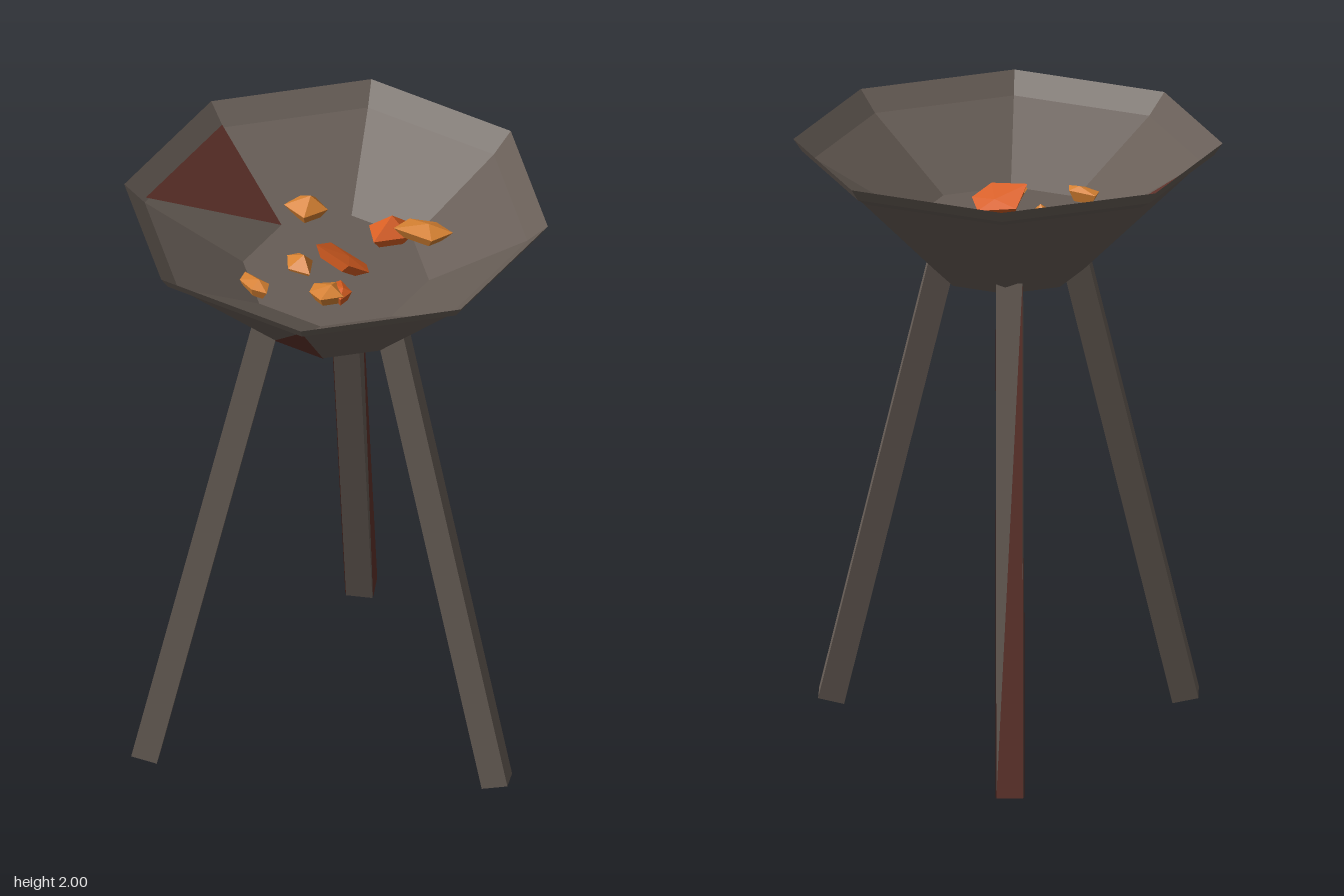
import * as THREE from 'three';
import { ConvexGeometry } from 'three/addons/geometries/ConvexGeometry.js';

const flat = (name, color) =>
  new THREE.MeshStandardMaterial({ name, color, side: THREE.DoubleSide, flatShading: true });

function addMesh(parent, name, geometry, material) {
  const mesh = new THREE.Mesh(geometry, material);
  mesh.name = name;
  parent.add(mesh);
  return mesh;
}

// Point on a ring around y: angle 0 is +z, 90 degrees is +x
const ring = (r, y, deg) => {
  const a = THREE.MathUtils.degToRad(deg);
  return new THREE.Vector3(r * Math.sin(a), y, r * Math.cos(a));
};

// Single triangle lifted slightly off the surface below it
function patchGeometry(a, b, c) {
  const lift = new THREE.Triangle(a, b, c).getNormal(new THREE.Vector3()).multiplyScalar(0.002);
  const geometry = new THREE.BufferGeometry().setFromPoints([a, b, c].map(p => p.clone().add(lift)));
  geometry.computeVertexNormals();
  return geometry;
}

// Faceted chunk: an uneven five-sided outline, a smaller base below and a peak above
function emberGeometry(length, width, height, seed) {
  const points = [new THREE.Vector3(length * 0.15, height, -width * 0.2)];
  for (let i = 0; i < 5; i++) {
    const corner = ring(1, 0, 72 * i + 90 + 18 * Math.sin(seed * 7 + i * 5));
    corner.multiply(new THREE.Vector3(length, 1, width));
    points.push(corner, corner.clone().multiplyScalar(0.65).setY(-0.035));
  }
  return new ConvexGeometry(points);
}

export function createModel() {
  const model = new THREE.Group();
  model.name = 'fireBowl';
  const iron = flat('iron', 0x675d56);
  const rust = flat('rust', 0x5f322a);
  const orange = flat('emberOrange', 0xd65d21);
  const amber = flat('emberAmber', 0xd68132);

  // Octagonal bowl with a bevelled rim and a raised floor
  const bowl = new THREE.Group();
  bowl.name = 'bowl';
  bowl.position.z = -0.005;
  model.add(bowl);
  const profile = [[0, 1.57], [0.24, 1.57], [0.683, 2], [0.656, 1.96], [0.3, 1.74], [0, 1.74]]
    .map(p => new THREE.Vector2(...p));
  addMesh(bowl, 'bowlShell', new THREE.LatheGeometry(profile, 8), iron);
  addMesh(bowl, 'outerRust',
    patchGeometry(ring(0.24, 1.57, 0), ring(0.24, 1.57, 45), ring(0.662, 1.98, 45)), rust);
  addMesh(bowl, 'innerRust',
    patchGeometry(ring(0.656, 1.96, 270), ring(0.656, 1.96, 315), ring(0.3, 1.74, 270)), rust);

  // Three splayed square legs, their upper ends just meeting the bowl
  const legRadius = 0.06;
  ['frontLeg', 'leftLeg', 'backRightLeg'].forEach((name, i) => {
    const angle = -13 + 120 * i;
    const foot = ring(0.65, 0.015, angle);
    const head = ring(0.234, 1.605, angle);
    const length = foot.distanceTo(head);
    const leg = new THREE.Group();
    leg.name = name;
    leg.position.copy(foot).add(head).multiplyScalar(0.5);
    leg.quaternion.setFromUnitVectors(new THREE.Vector3(0, 1, 0), head.clone().sub(foot).normalize());
    addMesh(leg, 'post', new THREE.CylinderGeometry(legRadius, legRadius, length, 4), iron);
    model.add(leg);

    // Rust creeping up the outer faces of the back leg
    if (name === 'backRightLeg') {
      for (const deg of [90, 180, 270]) {
        addMesh(leg, 'legRust', patchGeometry(
          ring(legRadius, -length / 2, deg),
          ring(legRadius, -length / 2, deg + 90),
          ring(legRadius, length / 2, deg + 90)), rust);
      }
    }
  });

  // Embers: colour, position, half length, half width, peak height, turn in degrees
  const embers = new THREE.Group();
  embers.name = 'embers';
  model.add(embers);
  [
    [orange, 0.02, 1.81, -0.015, 0.11, 0.075, 0.005, 20],
    [orange, -0.035, 1.775, -0.24, 0.085, 0.065, 0.05, 75],
    [amber, 0.07, 1.82, -0.295, 0.1, 0.055, 0.02, 35],
    [amber, -0.29, 1.78, -0.095, 0.072, 0.06, 0.04, 30],
    [amber, -0.085, 1.75, 0.075, 0.065, 0.045, 0.04, -10],
    [amber, 0.115, 1.78, 0.11, 0.06, 0.055, 0.02, 30],
    [orange, 0.13, 1.775, 0.07, 0.055, 0.035, 0.015, -25],
    [amber, -0.055, 1.78, 0.272, 0.072, 0.034, 0.015, 5],
  ].forEach(([material, x, y, z, length, width, height, turn], i) => {
    const ember = addMesh(embers, 'ember', emberGeometry(length, width, height, i), material);
    ember.position.set(x, y, z);
    ember.rotation.y = THREE.MathUtils.degToRad(turn);
    // The largest ember leans up towards the front
    if (i === 0) ember.rotation.x = -0.55;
  });

  return model;
}
